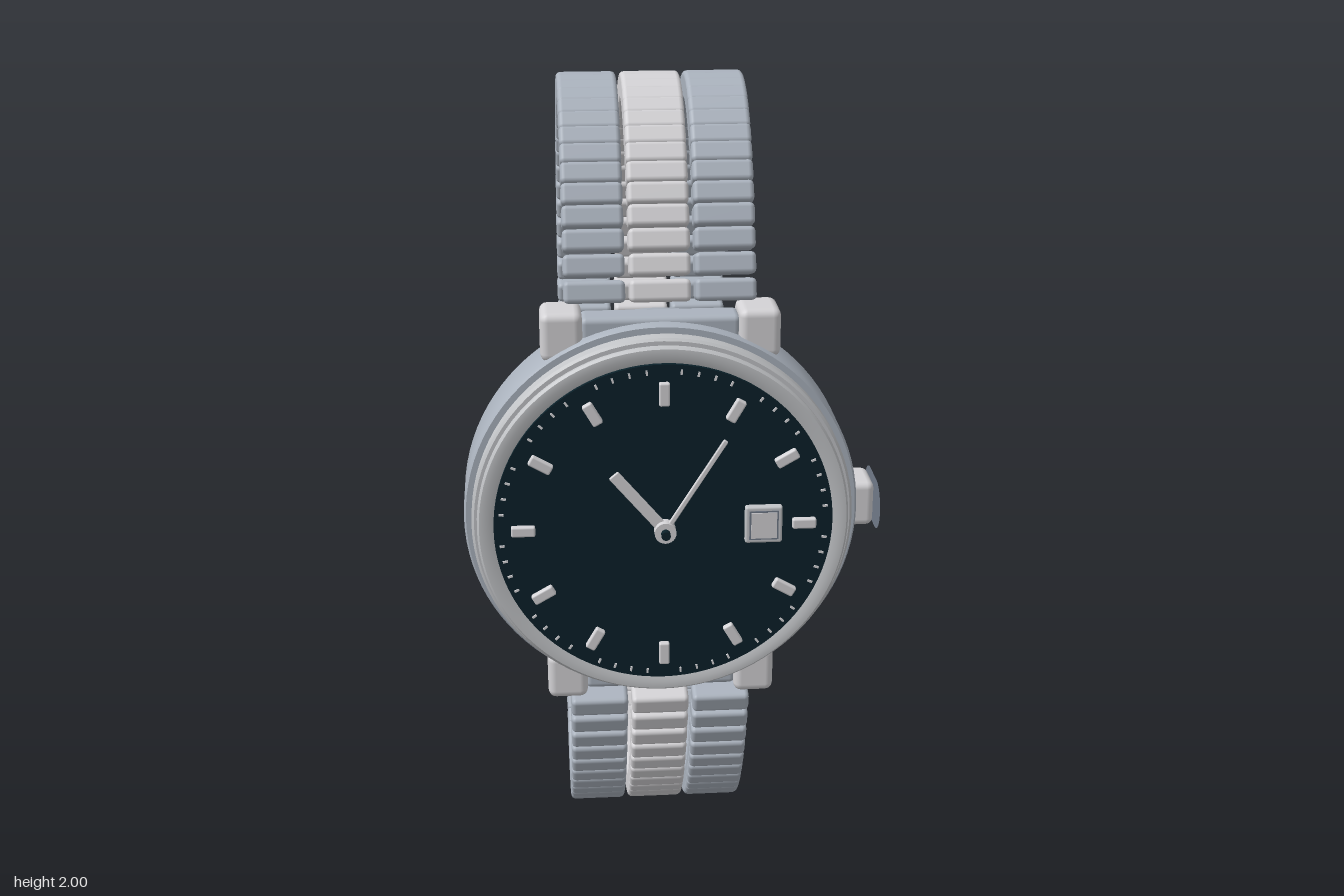
import * as THREE from 'three';
import { toCreasedNormals } from 'three/addons/utils/BufferGeometryUtils.js';
import { RoundedBoxGeometry } from 'three/addons/geometries/RoundedBoxGeometry.js';

const material = (name, color) => {
  const m = new THREE.MeshStandardMaterial({ color });
  m.name = name;
  return m;
};

export function createModel() {
  const blueSteel = material('blue steel', 0xabb3be);
  const paleSteel = material('pale steel', 0xd4d3d6);
  const bezelSteel = material('bezel steel', 0xc3c5c8);
  const darkSteel = material('dark steel', 0x717a88);
  const dialInk = material('dial ink', 0x0a2029);
  darkSteel.side = THREE.DoubleSide;

  const root = new THREE.Group();
  root.name = 'wristwatch';
  const watch = new THREE.Group();
  watch.name = 'watch';
  watch.position.set(-0.027, 1, 0);
  root.add(watch);

  const add = (name, geometry, mat, x = 0, y = 0, z = 0, parent = watch) => {
    const mesh = new THREE.Mesh(geometry, mat);
    mesh.name = name;
    mesh.position.set(x, y, z);
    parent.add(mesh);
    return mesh;
  };
  const box = (w, h, d, r = 0.01) => new RoundedBoxGeometry(w, h, d, 2, r);
  const disc = (r, depth, sides = 24) => new THREE.CylinderGeometry(r, r, depth, sides).rotateX(Math.PI / 2);
  // turned part: points are [radius, z]
  const turned = (points) => toCreasedNormals(
    new THREE.LatheGeometry(points.map(([r, z]) => new THREE.Vector2(r, z)), 96).rotateX(Math.PI / 2), 0.6);

  // Case, stepped bezel and dial
  add('case', turned([[0, 0.208], [0.462, 0.208], [0.472, 0.213], [0.479, 0.225],
    [0.479, 0.36], [0.474, 0.368], [0.4, 0.368]]), blueSteel);
  add('bezel', turned([[0.45, 0.366], [0.46, 0.372], [0.46, 0.405], [0.454, 0.411], [0.438, 0.411], [0.438, 0.416],
    [0.443, 0.416], [0.447, 0.421], [0.447, 0.43], [0.442, 0.436], [0.425, 0.437], [0.406, 0.43], [0.402, 0.42]]), bezelSteel);
  add('dial', disc(0.407, 0.02, 96), dialInk, 0, 0, 0.431);

  // Hour markers and minute dots
  const markers = new THREE.Group();
  markers.name = 'markers';
  watch.add(markers);
  const hourGeometry = box(0.026, 0.058, 0.018, 0.005);
  const minuteGeometry = new THREE.BoxGeometry(0.005, 0.012, 0.006);
  for (let i = 0; i < 60; i++) {
    const a = i * Math.PI / 30;
    const hour = i % 5 === 0;
    const r = hour ? 0.337 : 0.39;
    const mark = add(hour ? 'hourMarker' : 'minuteMarker', hour ? hourGeometry : minuteGeometry,
      paleSteel, Math.sin(a) * r, Math.cos(a) * r, hour ? 0.449 : 0.442, markers);
    mark.rotation.z = -a;
  }

  // Date window
  add('dateFrame', box(0.09, 0.094, 0.022, 0.006), bezelSteel, 0.238, 0.003, 0.452);
  add('dateBorder', new THREE.BoxGeometry(0.07, 0.074, 0.002), darkSteel, 0.238, 0.003, 0.464);
  add('datePanel', new THREE.BoxGeometry(0.062, 0.066, 0.004), paleSteel, 0.238, 0.003, 0.465);

  // Hands
  const hand = (name, x, y, width, z) => {
    const length = Math.hypot(x, y);
    const geometry = box(width, length, 0.01, 0.003).translate(0, length / 2, 0);
    add(name, geometry, paleSteel, 0, 0, z).rotation.z = Math.atan2(-x, y);
  };
  hand('hourHand', -0.122, 0.145, 0.028, 0.468);
  hand('minuteHand', 0.143, 0.228, 0.012, 0.477);
  add('handHub', disc(0.026, 0.03), paleSteel, 0, 0, 0.474);
  add('handPin', disc(0.011, 0.065), dialInk, 0, 0, 0.473);

  // Crown with its flat end plate
  add('crown', box(0.07, 0.115, 0.118, 0.018), paleSteel, 0.49, 0, 0.293);
  const pill = new THREE.Shape();
  pill.absarc(0.042, 0, 0.062, -Math.PI / 2, Math.PI / 2, false);
  pill.absarc(-0.042, 0, 0.062, Math.PI / 2, Math.PI * 1.5, false);
  add('crownPlate', new THREE.ShapeGeometry(pill, 16).rotateY(Math.PI / 2), darkSteel, 0.53, 0, 0.3);

  // Lugs and end links
  for (const sy of [-1, 1]) {
    for (const sx of [-1, 1]) add('lug', box(0.1, 0.12, 0.122, 0.02), paleSteel, sx * 0.235, sy * 0.447, 0.295);
    add('endLink', box(0.38, 0.07, 0.08, 0.015), blueSteel, 0, sy * 0.455, 0.3);
  }

  // Bracelet: three columns of links around an ellipse
  const bracelet = new THREE.Group();
  bracelet.name = 'bracelet';
  watch.add(bracelet);
  const linkGeometry = box(0.145, 0.053, 0.07, 0.012);
  const count = 84, radiusZ = 0.39, radiusY = 0.965;
  for (let i = 0; i < count; i++) {
    const a = i / count * Math.PI * 2;
    const z = -Math.cos(a) * radiusZ;
    const y = Math.sin(a) * radiusY;
    if (z > 0 && Math.abs(y) < 0.49) continue;
    const tilt = Math.atan2(-y / radiusY ** 2, z / radiusZ ** 2);
    for (const column of [-1, 0, 1]) {
      const link = add(column ? 'outerLink' : 'middleLink', linkGeometry,
        column ? blueSteel : paleSteel, column * 0.155, y, z - 0.022, bracelet);
      link.rotation.x = tilt;
    }
  }

  // Folding clasp
  const clasp = new THREE.Group();
  clasp.name = 'clasp';
  watch.add(clasp);
  add('claspBase', box(0.395, 0.23, 0.074, 0.008), darkSteel, 0, 0.01, -0.414, clasp);
  for (const sx of [-1, 1]) {
    add('claspPad', box(0.1, 0.05, 0.03, 0.01), blueSteel, sx * 0.145, 0.09, -0.453, clasp);
    add('claspRivet', disc(0.03, 0.022), blueSteel, sx * 0.12, -0.065, -0.49, clasp);
  }
  add('claspPlate', box(0.3, 0.18, 0.022, 0.008), bezelSteel, 0, 0.01, -0.474, clasp);
  add('claspInset', new THREE.BoxGeometry(0.19, 0.07, 0.008), darkSteel, 0, 0, -0.487, clasp);
  add('claspButton', box(0.136, 0.056, 0.02, 0.006), blueSteel, 0, 0, -0.495, clasp);

  return root;
}
